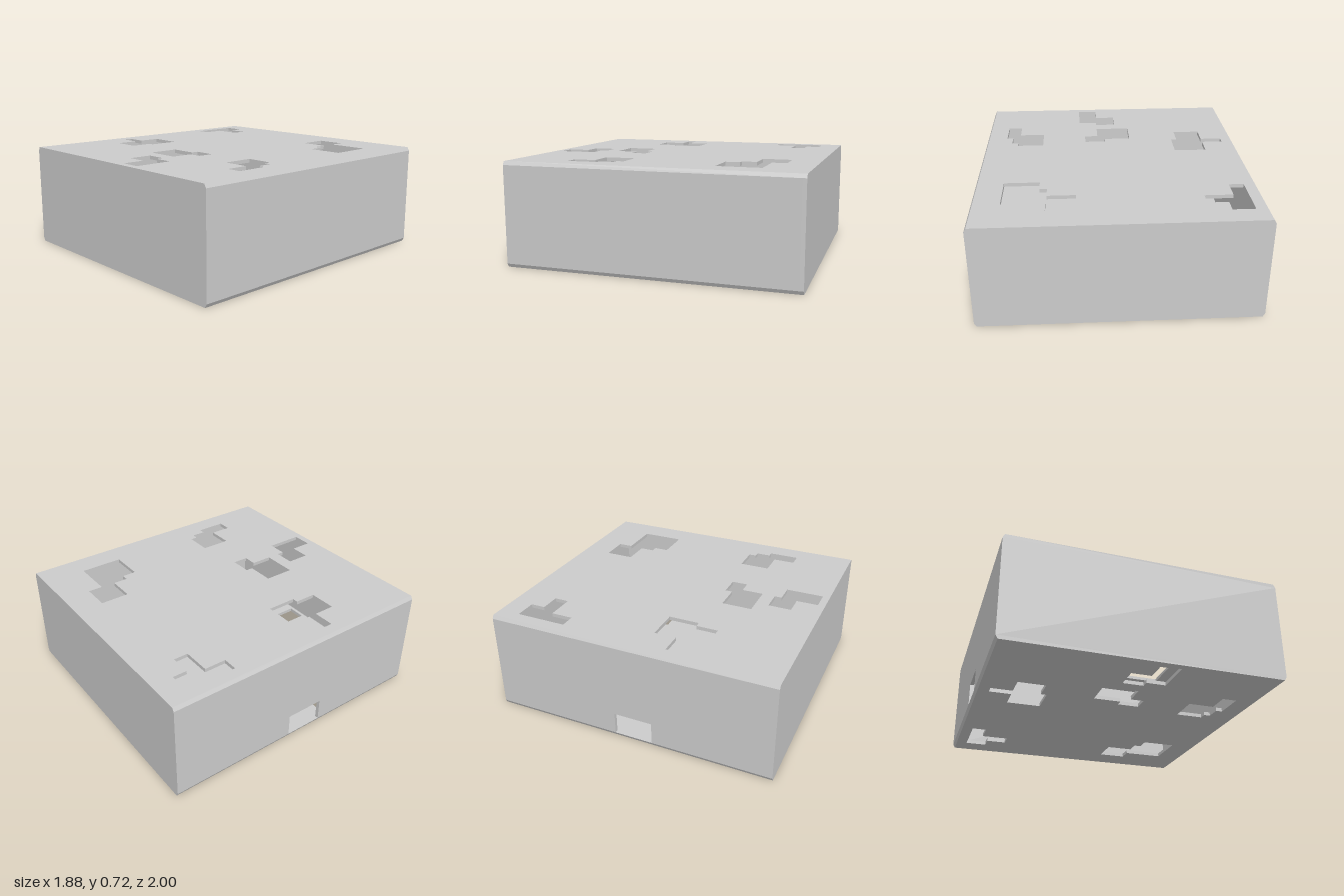
import * as THREE from 'three';

const W = 0.94;      // half width (x)
const D = 1;         // half depth (z)
const H = 0.72;      // height
const T = 0.025;     // plate and wall thickness
const CHAMFER = 0.014;

// Stepped openings: alternating x, z values, each changing one coordinate of the outline
const OPENINGS = [
  [-0.85, -0.85, -0.70, -0.75, -0.56, -0.65, -0.75, -0.50],
  [0.27, -0.80, 0.465, -0.70, 0.75, -0.40, 0.51, -0.50, 0.46, -0.60],
  [-0.70, 0.09, -0.47, 0.30, -0.51, 0.45, -0.70, 0.30, -0.85, 0.24],
  [-0.15, 0.34, 0.04, 0.29, 0.19, 0.40, 0.095, 0.55],
  [-0.05, 0.64, 0.095, 0.69, 0.23, 0.95, 0.09, 0.80],
  [0.51, 0.24, 0.70, 0.29, 0.745, 0.39, 0.79, 0.60, 0.69, 0.45],
];

const material = new THREE.MeshStandardMaterial({ color: 0xcccccc, flatShading: true });

const outline = (v) => v.map((_, i) => new THREE.Vector2(
  v[(Math.ceil(i / 2) * 2) % v.length],
  v[Math.floor(i / 2) * 2 + 1],
));

const rectangle = (x0, y0, x1, y1) => outline([x0, y0, x1, y1]);

// Horizontal plate with the openings; its outer long edges are chamfered
function plateGeometry(top, outerY) {
  const shape = new THREE.Shape(rectangle(-W, -D, W, D));
  shape.holes = OPENINGS.map((v) => new THREE.Path(outline(v)));
  const geometry = new THREE.ExtrudeGeometry(shape, { depth: T, bevelEnabled: false });
  geometry.rotateX(Math.PI / 2).translate(0, top, 0);
  const p = geometry.attributes.position;
  for (let i = 0; i < p.count; i++) {
    const x = p.getX(i);
    if (Math.abs(x) > W - 1e-4 && Math.abs(p.getY(i) - outerY) < 1e-4) {
      p.setX(i, x - Math.sign(x) * CHAMFER);
    }
  }
  geometry.computeVertexNormals();
  return geometry;
}

// Side wall with a small doorway notched into its lower edge
function doorWallGeometry() {
  const d = D - T;
  const shape = new THREE.Shape(outline([-d, T, -0.10, 0.18, 0.17, T, d, H - T]));
  const geometry = new THREE.ExtrudeGeometry(shape, { depth: T, bevelEnabled: false });
  return geometry.rotateY(-Math.PI / 2).translate(-W + T, 0, 0);
}

export function createModel() {
  const group = new THREE.Group();
  group.name = 'hollowBlock';
  const add = (name, geometry) => {
    const mesh = new THREE.Mesh(geometry, material);
    mesh.name = name;
    group.add(mesh);
    return mesh;
  };

  // Roof and floor share the same openings
  add('roof', plateGeometry(H, H));
  add('floor', plateGeometry(T, 0));

  // Front and back walls
  for (const [name, side] of [['frontWall', 1], ['backWall', -1]]) {
    add(name, new THREE.BoxGeometry(2 * W, H - 2 * T, T))
      .position.set(0, H / 2, side * (D - T / 2));
  }

  // Plain side wall and the side wall with the doorway
  add('plainSideWall', new THREE.BoxGeometry(T, H - 2 * T, 2 * (D - T)))
    .position.set(W - T / 2, H / 2, 0);
  add('doorwaySideWall', doorWallGeometry());

  return group;
}
